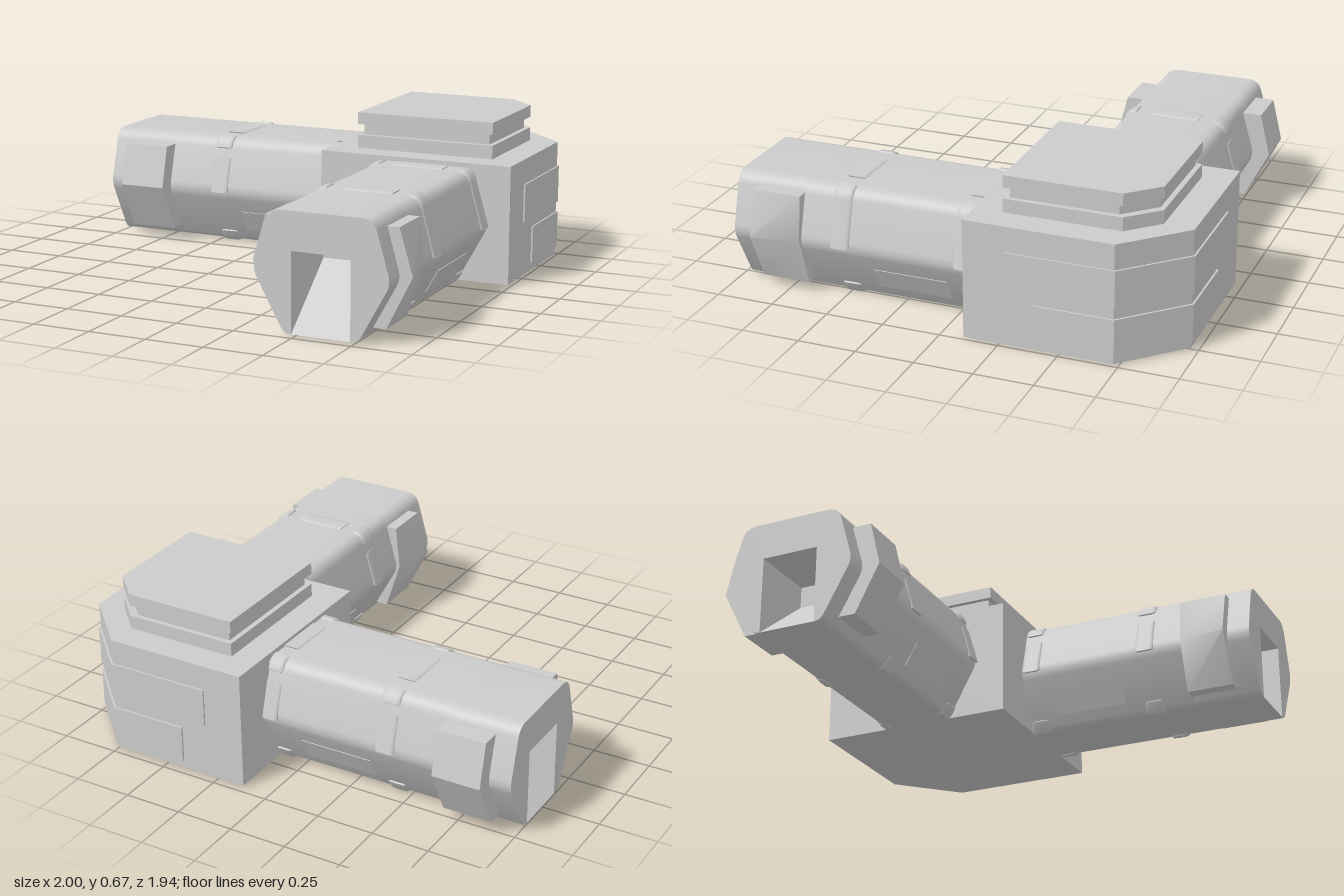
import * as THREE from 'three';
import { toCreasedNormals } from 'three/addons/utils/BufferGeometryUtils.js';

const material = new THREE.MeshStandardMaterial({ color: 0xcccccc });

function add(group, name, geometry) {
  const mesh = new THREE.Mesh(toCreasedNormals(geometry, 0.7), material);
  mesh.name = name;
  group.add(mesh);
  return mesh;
}

const polygon = (points) => new THREE.Shape(points.map(([x, y]) => new THREE.Vector2(x, y)));

// Extrude a shape in x-y from z0 to z1, optionally with rounded rims
function extrude(shape, z0, z1, bevel = 0) {
  const geometry = new THREE.ExtrudeGeometry(shape, {
    depth: z1 - z0 - 2 * bevel, curveSegments: 6, bevelEnabled: bevel > 0,
    bevelThickness: bevel, bevelSize: 0.008, bevelOffset: -0.008, bevelSegments: 3,
  });
  return geometry.translate(0, 0, z0 + bevel);
}

// Closed outline; each corner is [x, y, fillet]
function filleted(corners) {
  const shape = new THREE.Shape();
  const n = corners.length;
  const toward = (a, b) => {
    const p = new THREE.Vector2(a[0], a[1]);
    const d = new THREE.Vector2(b[0], b[1]).sub(p).normalize();
    return p.addScaledVector(d, a[2] || 0);
  };
  corners.forEach((c, i) => {
    const start = toward(c, corners[(i + n - 1) % n]);
    if (i) shape.lineTo(start.x, start.y);
    else shape.moveTo(start.x, start.y);
    if (c[2]) {
      const end = toward(c, corners[(i + 1) % n]);
      shape.quadraticCurveTo(c[0], c[1], end.x, end.y);
    }
  });
  shape.closePath();
  return shape;
}

// Thin strip following the arm's skin, sunk below it and slightly proud of it
function strip(path, side, proud) {
  const scaled = (k) => path.map(([x, y]) => [side * x * k, 0.255 + (y - 0.255) * k]);
  return polygon([...scaled(proud), ...scaled(0.9).reverse()]);
}

// Hollow-ended arm running along +z
function createArm({ name, start, end, ribs, panel, pad, padShape, taper, joined }) {
  const arm = new THREE.Group();
  arm.name = name;
  const depth = 0.3;
  const right = [[0.155, 0.012, 0.03], [0.288, 0.255, 0.035], [0.218, 0.5, 0.05]];
  const left = right.map(([x, y, r]) => [-x, y, r]).reverse();
  add(arm, 'armBody', extrude(filleted([...right, ...left]), start, end - depth));

  // Open mouth with a ramp as its floor
  const w = 0.124;
  const notch = [[-w, 0.012], [-w, 0.342], [w, 0.342], [w, 0.012]];
  add(arm, 'armMouth', extrude(filleted([...right, ...left, ...notch]), end - depth, end));
  const ramp = extrude(polygon([[-end, 0.012], [depth - end, 0.012], [depth - end, 0.25]]), -w, w);
  add(arm, 'mouthRamp', ramp.rotateY(Math.PI / 2));

  // Broken rings of ribs
  const lower = [[0.288, 0.255], [0.243, 0.41]];
  const upper = [[0.232, 0.45], [0.222, 0.48], [0.2, 0.496], [0.175, 0.5]];
  const foot = [[0.182, 0.06], [0.165, 0.03], [0.15, 0.014], [0.125, 0.012]];
  for (const z of ribs) {
    const rib = (path, side) => add(arm, 'rib', extrude(strip(path, side, 1.022), z - 0.042, z + 0.042, 0.02));
    rib([[0.11, 0.5], [-0.11, 0.5]], 1);
    for (const side of [1, -1]) {
      if (joined && side > 0) rib([...lower, ...upper], side);
      else {
        rib(lower, side);
        rib(upper, side);
      }
      rib(foot, side);
    }
  }

  // Side panels and angled grip pads
  for (const side of [1, -1]) {
    add(arm, 'sidePanel', extrude(strip([[0.187, 0.07], [0.239, 0.165]], side, 1.012), ...panel));
    const geometry = extrude(polygon(padShape.map(([x, y]) => [side * x, y])), ...pad);
    const p = geometry.attributes.position;
    for (let i = 0; i < p.count; i++) {
      const atRear = p.getZ(i) < (pad[0] + pad[1]) / 2;
      if (atRear && Math.abs(p.getX(i)) > 0.32) p.setX(i, p.getX(i) - side * taper);
    }
    geometry.computeVertexNormals();
    add(arm, 'gripPad', geometry);
  }
  return arm;
}

// Square slab with its back left corner cut off
function cornerSlab(x0, x1, z0, z1, cut, y0, y1) {
  const shape = polygon([[x0, -z1], [x1, -z1], [x1, -z0 - cut], [x1 - cut, -z0], [x0, -z0]]);
  return extrude(shape, 0, y1 - y0).rotateX(-Math.PI / 2).translate(0, y0, 0);
}

export function createModel() {
  const model = new THREE.Group();
  model.name = 'cornerConnector';

  // Corner block
  add(model, 'cornerBlock', cornerSlab(0.125, 0.99, -0.967, -0.1, 0.24, 0.012, 0.52));

  // Raised bands wrapping the cut corner
  for (const [inset, y0, y1] of [[0.3, 0.25, 0.412], [0.415, 0.045, 0.205]]) {
    add(model, 'cornerBand', cornerSlab(inset, 0.997, -0.975, 0.025 - inset, 0.243, y0, y1));
  }

  // Stepped cap
  for (const [y0, y1, s] of [[0.52, 0.578, 0], [0.578, 0.625, 0.022], [0.625, 0.677, 0]]) {
    add(model, s ? 'capNeck' : 'capPlate',
      cornerSlab(0.245 + s, 0.865 - s, -0.84 + s, -0.22 - s, 0.125, y0, y1));
  }

  const frontArm = createArm({
    name: 'frontArm', start: -0.12, end: 0.967, ribs: [0.485, -0.058], panel: [0.03, 0.355],
    pad: [0.66, 0.867], taper: 0.037, joined: true,
    padShape: [[0.2, 0.455], [0.28, 0.455], [0.337, 0.265], [0.23, 0.05], [0.15, 0.05], [0.26, 0.265]],
  });
  frontArm.position.x = 0.608;

  const rightArm = createArm({
    name: 'rightArm', start: -0.14, end: 1, ribs: [0.443, -0.1], panel: [0.03, 0.35],
    pad: [0.695, 0.905], taper: 0, joined: false,
    padShape: [[0.2, 0.45], [0.315, 0.45], [0.36, 0.265], [0.255, 0.06], [0.15, 0.06], [0.26, 0.265]],
  });
  rightArm.rotation.y = -Math.PI / 2;
  rightArm.position.z = -0.517;

  model.add(frontArm, rightArm);
  return model;
}
